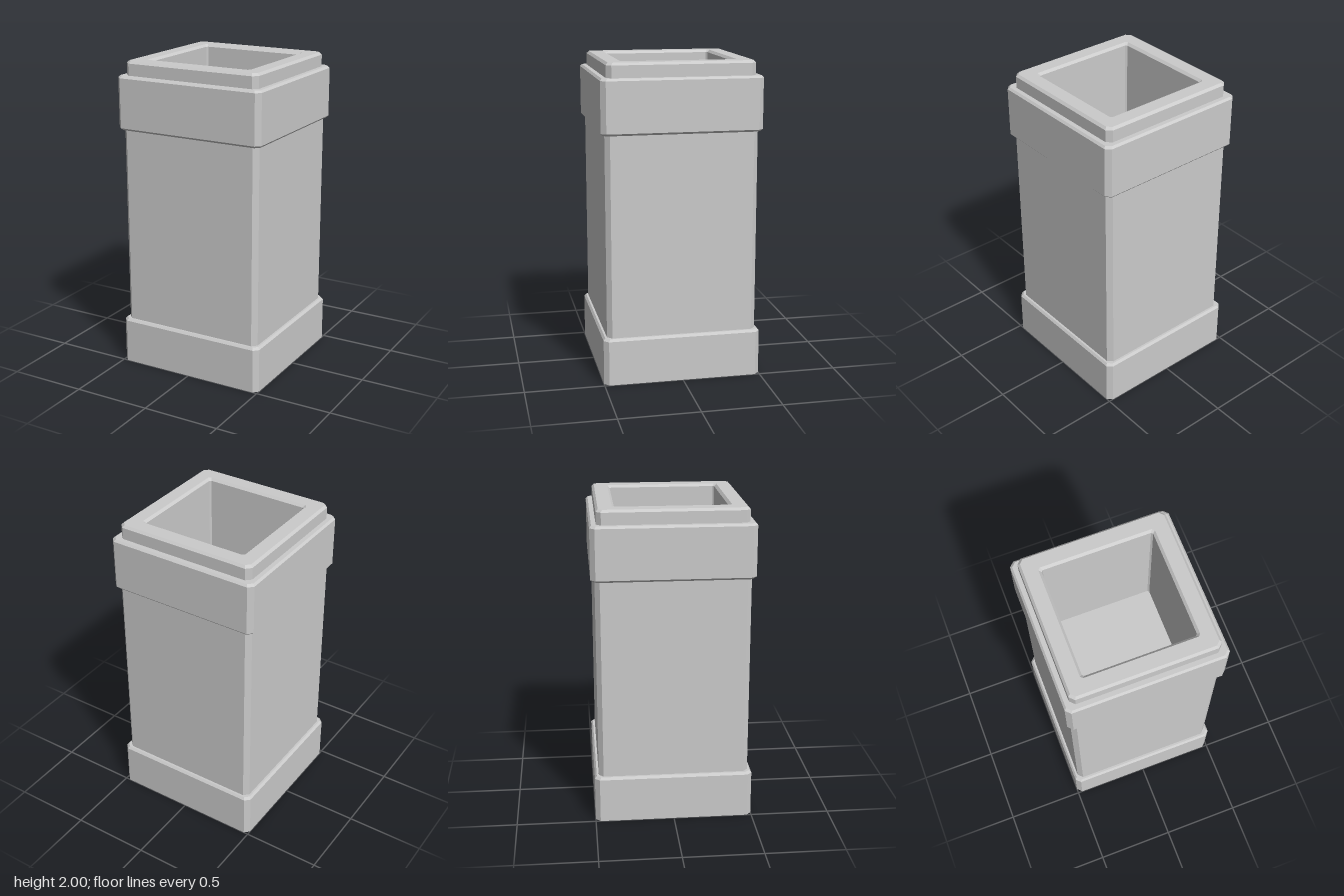
import * as THREE from 'three';

const material = new THREE.MeshStandardMaterial({
  color: 0xcccccc, flatShading: true, side: THREE.DoubleSide,
});

// Square ring with cut corners: half width h, corner cut c, height y
function ring([h, y, c = 0.03]) {
  const k = h - c;
  return [[h, -k], [h, k], [k, h], [-k, h], [-h, k], [-h, -k], [-k, -h], [k, -h]]
    .map(([x, z]) => new THREE.Vector3(x, y, z));
}

// Skin a stack of rings; going up the stack gives outward faces
function loft(name, profile, capEnd = false) {
  const rings = profile.map(ring);
  const points = [];
  for (let i = 0; i < rings.length - 1; i++) {
    const a = rings[i], b = rings[i + 1];
    for (let j = 0; j < 8; j++) {
      const n = (j + 1) % 8;
      points.push(a[j], b[j], b[n], a[j], b[n], a[n]);
    }
  }
  if (capEnd) {
    const e = rings[rings.length - 1];
    for (let j = 1; j < 7; j++) points.push(e[0], e[j + 1], e[j]);
  }
  const geometry = new THREE.BufferGeometry().setFromPoints(points);
  geometry.computeVertexNormals();
  const mesh = new THREE.Mesh(geometry, material);
  mesh.name = name;
  return mesh;
}

export function createModel() {
  const group = new THREE.Group();
  group.name = 'squarePedestal';
  group.add(
    // Open-bottomed plinth with a bevelled top edge and a small ledge
    loft('base', [[0.5, 0], [0.5, 0.285], [0.488, 0.3, 0.027], [0.475, 0.3]]),
    // Plain shaft
    loft('shaft', [[0.475, 0.3], [0.475, 1.57]]),
    // Wide collar, bevelled above and below
    loft('collar', [[0.475, 1.57], [0.488, 1.57, 0.027], [0.5, 1.583],
      [0.5, 1.897], [0.488, 1.91, 0.027], [0.46, 1.91]]),
    // Raised rim, bevelled outside and inside the opening
    loft('rim', [[0.46, 1.91], [0.46, 1.985], [0.446, 2, 0.025],
      [0.36, 2, 0.014], [0.345, 1.985, 0.01]]),
    // Recess with a flat floor
    loft('recess', [[0.345, 1.985, 0.01], [0.345, 1.15, 0.01]], true),
  );
  return group;
}
